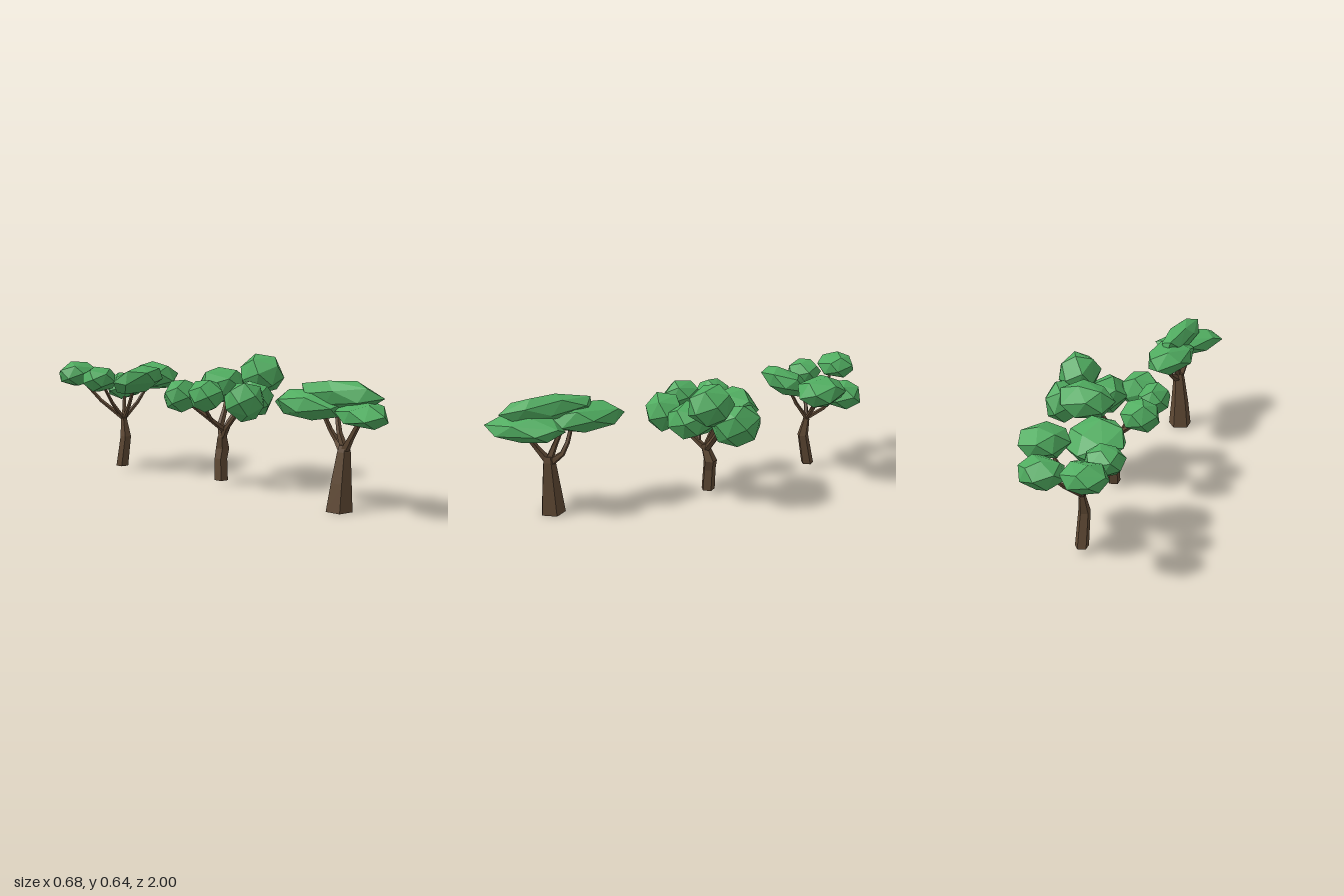
import * as THREE from 'three';
import { ConvexGeometry } from 'three/addons/geometries/ConvexGeometry.js';

const leafMaterial = new THREE.MeshStandardMaterial({ color: 0x50ac60, flatShading: true });
const barkMaterial = new THREE.MeshStandardMaterial({ color: 0x5f4934, flatShading: true });

function seeded(seed) {
  let s = seed * 7919 + 17;
  return () => (s = (s * 16807) % 2147483647) / 2147483647;
}

// Faceted leaf clump: a jittered ball, optionally stretched and turned, fitted to a box
function clump(seed, center, half, stretch = [1, 1, 1], pitch = 0, yaw = 0) {
  const rand = seeded(seed);
  const count = 17;
  const turn = new THREE.Euler(pitch, yaw, 0);
  const points = [];
  const phase = rand() * 6.28;
  for (let i = 0; i < count; i++) {
    const y = 1 - (2 * (i + 0.5)) / count + (rand() - 0.5) * 0.06;
    const r = Math.sqrt(Math.max(0, 1 - y * y));
    const a = phase + i * 2.39996 + (rand() - 0.5) * 0.2;
    points.push(new THREE.Vector3(r * Math.cos(a), y, r * Math.sin(a))
      .multiply(new THREE.Vector3(...stretch)).applyEuler(turn));
  }
  const box = new THREE.Box3().setFromPoints(points);
  const mid = box.getCenter(new THREE.Vector3());
  const size = box.getSize(new THREE.Vector3());
  for (const p of points) {
    p.sub(mid).divide(size).multiplyScalar(2).multiply(new THREE.Vector3(...half))
      .add(new THREE.Vector3(...center));
  }
  const mesh = new THREE.Mesh(new ConvexGeometry(points), leafMaterial);
  mesh.name = 'leafClump';
  return mesh;
}

// Tapered angular limb through [x, y, z, radius] stations; level rings for trunks
function limb(name, stations, level = false) {
  const sides = 5;
  const pts = stations.map((s) => new THREE.Vector3(s[0], s[1], s[2]));
  const up = new THREE.Vector3(0, 1, 0);
  const positions = [];
  const index = [];
  pts.forEach((p, i) => {
    const dir = pts[Math.min(i + 1, pts.length - 1)].clone().sub(pts[Math.max(i - 1, 0)]).normalize();
    const q = new THREE.Quaternion().setFromUnitVectors(up, level ? up : dir);
    for (let k = 0; k < sides; k++) {
      const a = (k / sides) * Math.PI * 2 + 0.4;
      const v = new THREE.Vector3(Math.sin(a), 0, Math.cos(a)).multiplyScalar(stations[i][3])
        .applyQuaternion(q).add(p);
      positions.push(v.x, v.y, v.z);
    }
  });
  const last = (pts.length - 1) * sides;
  for (let i = 0; i < pts.length - 1; i++) {
    for (let k = 0; k < sides; k++) {
      const a = i * sides + k, b = i * sides + ((k + 1) % sides);
      index.push(a, b, b + sides, a, b + sides, a + sides);
    }
  }
  for (let k = 1; k < sides - 1; k++) {
    index.push(0, k + 1, k, last, last + k, last + k + 1);
  }
  const geometry = new THREE.BufferGeometry();
  geometry.setAttribute('position', new THREE.Float32BufferAttribute(positions, 3));
  geometry.setIndex(index);
  geometry.computeVertexNormals();
  const mesh = new THREE.Mesh(geometry, barkMaterial);
  mesh.name = name;
  return mesh;
}

function tree(name, trunk, branches, clumps) {
  const group = new THREE.Group();
  group.name = name;
  group.add(limb('trunk', trunk, true));
  for (const b of branches) group.add(limb('branch', b));
  const crown = new THREE.Group();
  crown.name = 'crown';
  for (const c of clumps) crown.add(clump(...c));
  group.add(crown);
  return group;
}

export function createModel() {
  const model = new THREE.Group();
  model.name = 'savannaTrees';

  // Front tree: straight trunk, long flat canopy
  model.add(tree('frontTree',
    [[-0.051, 0, 0.71, 0.063], [-0.045, 0.13, 0.715, 0.049], [-0.035, 0.27, 0.72, 0.032], [-0.033, 0.3, 0.72, 0.024]],
    [
      [[-0.035, 0.27, 0.72, 0.022], [-0.05, 0.34, 0.77, 0.015], [-0.06, 0.43, 0.83, 0.012]],
      [[-0.03, 0.27, 0.71, 0.022], [-0.01, 0.31, 0.66, 0.014], [-0.02, 0.36, 0.63, 0.012], [-0.04, 0.44, 0.6, 0.01]],
      [[-0.03, 0.28, 0.72, 0.02], [-0.03, 0.35, 0.69, 0.014], [-0.01, 0.43, 0.66, 0.011]],
    ],
    [
      [21, [-0.05, 0.47, 0.53], [0.113, 0.07, 0.2]],
      [2, [-0.05, 0.45, 0.825], [0.15, 0.06, 0.175], [1.8, 1, 1], 0, 0.86],
      [3, [-0.05, 0.53, 0.72], [0.066, 0.063, 0.225]],
    ]));

  // Middle tree: crooked trunk, tall crown on its left side
  model.add(tree('middleTree',
    [[0.003, 0.02, -0.08, 0.035], [0.006, 0.13, -0.085, 0.033], [0.018, 0.18, -0.085, 0.035], [0.0, 0.24, -0.07, 0.025], [0, 0.265, -0.06, 0.018]],
    [
      [[0.0, 0.23, -0.07, 0.018], [0.06, 0.3, -0.085, 0.016], [0.12, 0.36, -0.085, 0.014], [0.19, 0.4, -0.06, 0.012], [0.22, 0.47, -0.03, 0.009]],
      [[0.0, 0.24, -0.07, 0.02], [0.01, 0.3, -0.09, 0.018], [0.05, 0.37, -0.1, 0.014], [0.12, 0.43, -0.15, 0.01]],
      [[0.0, 0.24, -0.065, 0.018], [-0.03, 0.3, -0.01, 0.014], [-0.04, 0.4, 0.09, 0.01]],
      [[-0.02, 0.28, -0.035, 0.015], [-0.1, 0.35, -0.07, 0.012], [-0.17, 0.43, -0.15, 0.009]],
      [[-0.09, 0.34, -0.06, 0.011], [-0.15, 0.39, -0.03, 0.009], [-0.17, 0.45, -0.01, 0.007]],
    ],
    [
      [4, [-0.18, 0.455, -0.175], [0.09, 0.08, 0.085]],
      [5, [-0.175, 0.47, -0.01], [0.077, 0.078, 0.095]],
      [6, [-0.045, 0.44, 0.13], [0.1, 0.096, 0.09]],
      [7, [0.085, 0.435, 0.04], [0.102, 0.09, 0.122]],
      [28, [0.225, 0.54, -0.01], [0.1, 0.103, 0.112]],
      [29, [0.105, 0.48, -0.165], [0.145, 0.09, 0.107]],
      [31, [0.25, 0.44, -0.13], [0.09, 0.1, 0.125]],
    ]));

  // Back tree: slim bent trunk, five separate clumps
  const fork = [-0.115, 0.28, -0.685, 0.012];
  const tips = [[-0.24, 0.5, -0.9], [0.0, 0.43, -0.81], [-0.23, 0.48, -0.725], [0.06, 0.47, -0.665], [-0.135, 0.48, -0.57]];
  model.add(tree('backTree',
    [[-0.117, 0.027, -0.7, 0.033], [-0.117, 0.19, -0.668, 0.029], [-0.115, 0.27, -0.683, 0.018], [-0.115, 0.3, -0.685, 0.014]],
    tips.map(([x, y, z]) => [
      fork,
      [fork[0] + (x - fork[0]) * 0.5, 0.28 + (y - 0.28) * 0.42, fork[2] + (z - fork[2]) * 0.5, 0.01],
      [x, y, z, 0.007],
    ]),
    [
      [10, [-0.24, 0.512, -0.91], [0.1, 0.066, 0.09]],
      [11, [0.01, 0.432, -0.825], [0.11, 0.072, 0.095]],
      [12, [-0.24, 0.495, -0.725], [0.09, 0.065, 0.085]],
      [13, [0.08, 0.495, -0.65], [0.12, 0.075, 0.12], [1, 0.7, 1], 0.1],
      [14, [-0.135, 0.498, -0.56], [0.135, 0.08, 0.12], [1, 0.5, 1], -0.45],
    ]));

  return model;
}
